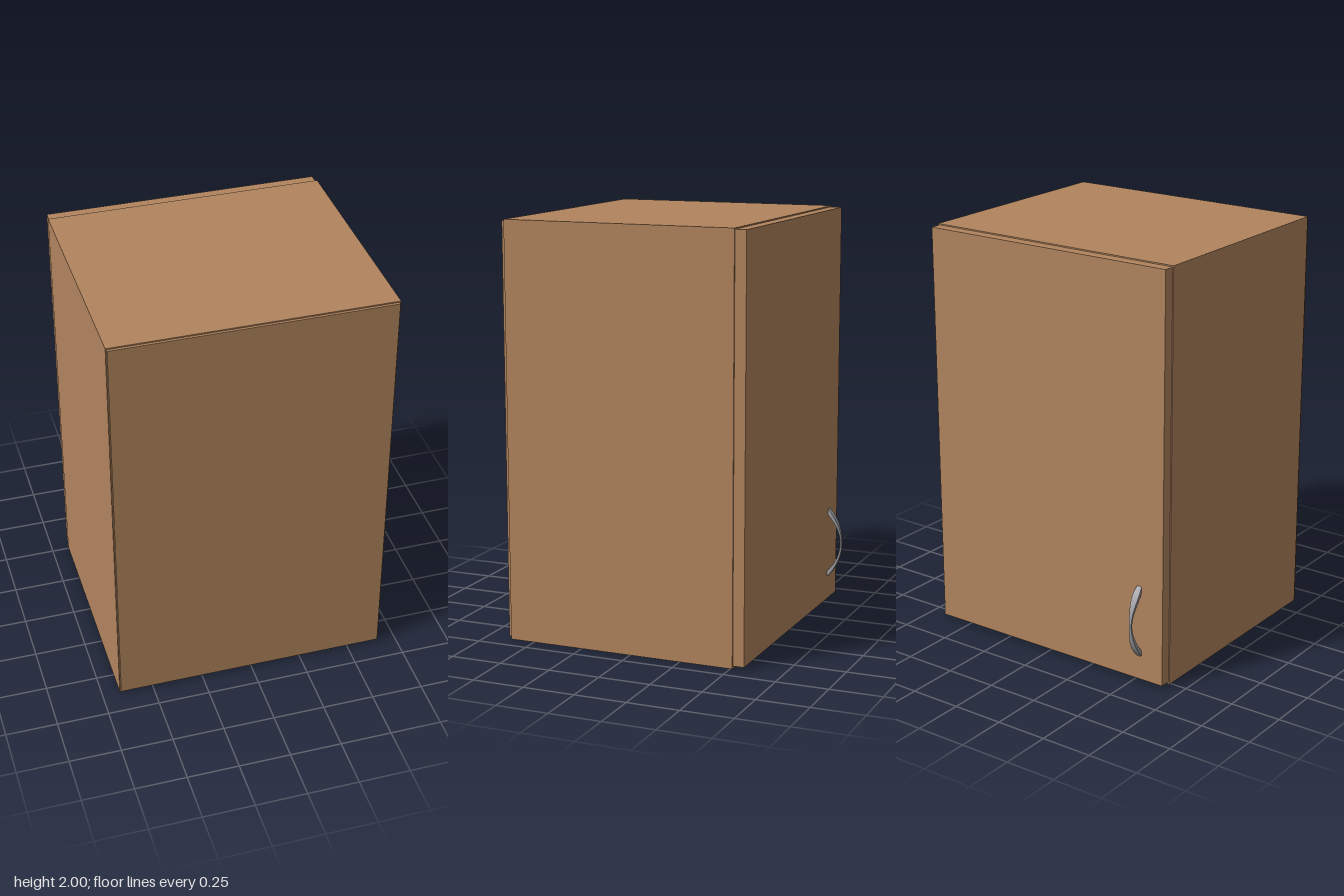
import * as THREE from 'three';

export function createModel() {
  const wood = new THREE.MeshStandardMaterial({ color: 0xb2855e });
  wood.name = 'wood';
  const metal = new THREE.MeshStandardMaterial({ color: 0x9b9ba0 });
  metal.name = 'metal';
  const model = new THREE.Group();
  model.name = 'wallCabinet';

  // Board given by its extents on each axis
  function board(name, [x0, x1], [y0, y1], [z0, z1]) {
    const mesh = new THREE.Mesh(new THREE.BoxGeometry(x1 - x0, y1 - y0, z1 - z0), wood);
    mesh.position.set((x0 + x1) / 2, (y0 + y1) / 2, (z0 + z1) / 2);
    mesh.name = name;
    model.add(mesh);
  }

  // Carcass
  const W = 0.664, T = 0.05, depth = [-0.51, 0.622];
  board('leftSide', [W - T, W], [0, 2], depth);
  board('rightSide', [-W, -W + T], [0, 2], depth);
  board('topBoard', [-W + T, W - T], [2 - T, 2], depth);
  board('bottomBoard', [-W + T, W - T], [0, T], depth);

  // Inset panel on one face, overlaid door on the other
  board('rearPanel', [-0.659, 0.657], [0.012, 1.994], [0.622, 0.635]);
  board('door', [-0.659, 0.657], [0.012, 1.994], [-0.564, -0.51]);

  // Bow handle: rectangular sections swept along an arc, slim in the middle
  const steps = 28, pos = [], index = [];
  for (let i = 0; i <= steps; i++) {
    const t = (i / steps) * 2 - 1, a = Math.abs(t);
    const flare = THREE.MathUtils.smoothstep(a, 0.05, 0.72);
    const tip = THREE.MathUtils.smoothstep(a, 0.85, 1);
    const w = (0.012 + 0.022 * flare - 0.01 * tip) / 2;
    const outer = t * 0.783, inner = t * 0.84;
    const yo = 0.251 * Math.sin(outer), zo = -0.386 - 0.251 * Math.cos(outer);
    const yi = 0.197 * Math.sin(inner), zi = -0.432 - 0.197 * Math.cos(inner);
    pos.push(-w, yo, zo, w, yo, zo, w, yi, zi, -w, yi, zi);
    if (i === steps) continue;
    for (let k = 0; k < 4; k++) {
      const p = i * 4 + k, q = i * 4 + (k + 1) % 4;
      index.push(p, p + 4, q, q, p + 4, q + 4);
    }
  }
  const e = steps * 4;
  index.push(0, 1, 2, 0, 2, 3, e, e + 2, e + 1, e, e + 3, e + 2);
  const bow = new THREE.BufferGeometry();
  bow.setAttribute('position', new THREE.Float32BufferAttribute(pos, 3));
  bow.setIndex(index);
  const geometry = bow.toNonIndexed();
  geometry.computeVertexNormals();
  const handle = new THREE.Mesh(geometry, metal);
  handle.name = 'doorHandle';
  handle.position.set(-0.53, 0.307, 0);
  model.add(handle);

  return model;
}
